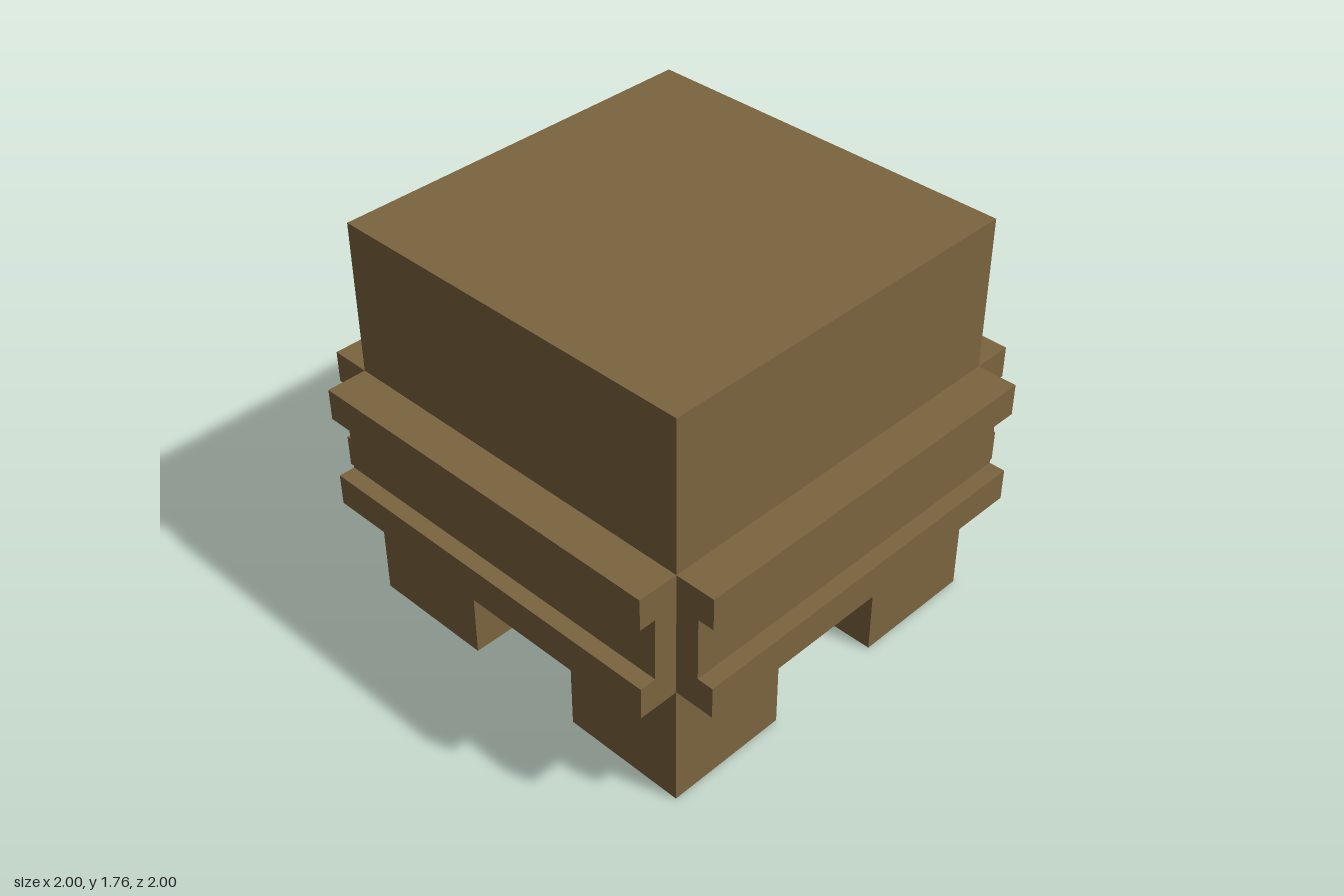
import * as THREE from 'three';

const HALF = 0.827;          // half width of the block
const TOP = 1.762;           // full height
const NOTCH = 0.276;         // half width, height and depth of the base notches

const shapeOf = (pts) => new THREE.Shape(pts.map(([x, y]) => new THREE.Vector2(x, y)));
const extrude = (pts, depth) =>
  new THREE.ExtrudeGeometry(shapeOf(pts), { depth, bevelEnabled: false });

export function createModel() {
  const model = new THREE.Group();
  model.name = 'bandedBlock';
  const brown = new THREE.MeshStandardMaterial({ color: 0x7c6540 });
  brown.name = 'brown';

  const add = (name, geometry) => {
    const mesh = new THREE.Mesh(geometry, brown);
    mesh.name = name;
    model.add(mesh);
    return mesh;
  };

  // Main block above the notched base
  const height = TOP - NOTCH;
  add('body', new THREE.BoxGeometry(2 * HALF, height, 2 * HALF)
    .translate(0, NOTCH + height / 2, 0));

  // Base: square footprint with a notch cut into the middle of each side
  const inner = HALF - NOTCH;
  const side = [[HALF, -HALF], [HALF, -NOTCH], [inner, -NOTCH], [inner, NOTCH], [HALF, NOTCH]];
  const footprint = [];
  for (let k = 0; k < 4; k++) {
    const c = [1, 0, -1, 0][k], s = [0, 1, 0, -1][k];
    side.forEach(([x, y]) => footprint.push([x * c - y * s, x * s + y * c]));
  }
  add('base', extrude(footprint, NOTCH).rotateX(-Math.PI / 2));

  // Grooved band on each of the four sides, open at the corners
  const profile = [
    [HALF, 0.552], [1, 0.552], [1, 0.69], [0.93, 0.69],
    [0.93, 0.967], [1, 0.967], [1, 1.104], [HALF, 1.104],
  ];
  const bandGeometry = extrude(profile, 2 * HALF).translate(0, 0, -HALF);
  ['leftBand', 'backBand', 'rightBand', 'frontBand'].forEach((name, k) => {
    add(name, bandGeometry).rotation.y = k * Math.PI / 2;
  });

  return model;
}
